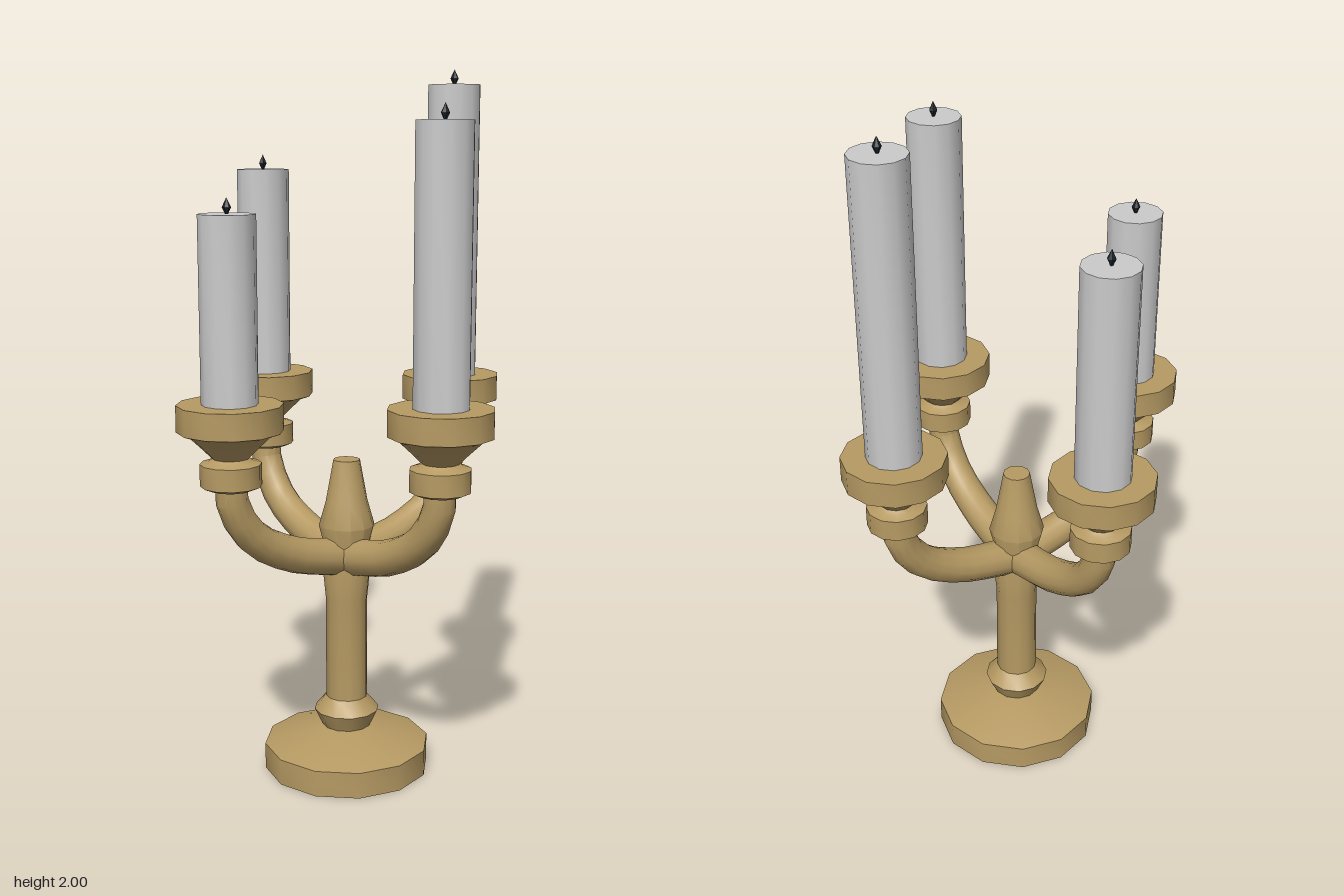
import * as THREE from 'three';
import { toCreasedNormals } from 'three/addons/utils/BufferGeometryUtils.js';

const brass = new THREE.MeshStandardMaterial({ color: 0xb69a63 });
const wax = new THREE.MeshStandardMaterial({ color: 0xcccccc });
const black = new THREE.MeshStandardMaterial({ color: 0x1a2228 });

// Turned part from [radius, height] pairs, listed bottom to top
function turned(name, profile, material, sides = 12) {
  const points = profile.map(([r, y]) => new THREE.Vector2(r, y));
  const mesh = new THREE.Mesh(toCreasedNormals(new THREE.LatheGeometry(points, sides), 0.6), material);
  mesh.name = name;
  return mesh;
}

// Round arm along a path, tapering from r0 to r1
function taperedTube(name, path, segments, r0, r1, material) {
  const sides = 12;
  const geometry = new THREE.TubeGeometry(path, segments, 1, sides);
  const pos = geometry.attributes.position;
  const v = new THREE.Vector3();
  for (let i = 0; i <= segments; i++) {
    const t = i / segments;
    const centre = path.getPointAt(t);
    for (let j = 0; j <= sides; j++) {
      const k = i * (sides + 1) + j;
      v.fromBufferAttribute(pos, k).sub(centre).multiplyScalar(THREE.MathUtils.lerp(r0, r1, t)).add(centre);
      pos.setXYZ(k, v.x, v.y, v.z);
    }
  }
  const mesh = new THREE.Mesh(toCreasedNormals(geometry, 0.6), material);
  mesh.name = name;
  return mesh;
}

// One branch pointing along +x: arm, cup, candle and wick
function createBranch(candleTop) {
  const branch = new THREE.Group();
  const reach = 0.393;

  const path = new THREE.CatmullRomCurve3([
    [0, 0.635], [0.09, 0.65], [0.19, 0.675], [0.31, 0.737],
    [0.368, 0.805], [reach, 0.87], [reach, 0.92],
  ].map(([x, y]) => new THREE.Vector3(x, y, 0)));
  branch.add(taperedTube('arm', path, 9, 0.055, 0.043, brass));

  const holder = new THREE.Group();
  holder.name = 'candleHolder';
  holder.position.x = reach;
  holder.add(
    turned('cup', [
      [0, 0.895], [0.06, 0.895], [0.083, 0.905], [0.083, 0.965], [0.06, 0.972],
      [0.05, 0.98], [0.075, 1.005], [0.115, 1.043], [0.143, 1.053], [0.143, 1.125], [0, 1.125],
    ], brass),
    turned('candle', [[0, 1.12], [0.076, 1.12], [0.076, candleTop], [0, candleTop]], wax),
    turned('wick', [
      [0, candleTop - 0.01], [0.004, candleTop], [0.012, candleTop + 0.017], [0, candleTop + 0.042],
    ], black, 6),
  );
  branch.add(holder);
  return branch;
}

export function createModel() {
  const model = new THREE.Group();
  model.name = 'candelabrum';

  // Foot, collar and shaft
  model.add(turned('foot', [[0, 0], [0.24, 0], [0.24, 0.075], [0.07, 0.127], [0, 0.127]], brass));
  model.add(turned('stem', [
    [0.07, 0.125], [0.094, 0.175], [0.06, 0.215], [0.06, 0.51], [0.068, 0.59], [0.06, 0.65],
    [0.08, 0.73], [0.06, 0.8], [0.038, 0.92], [0, 0.92],
  ], brass));

  // Four branches around the stem: left, back, right, front
  const branches = [['left', 1.855], ['back', 1.958], ['right', 1.72], ['front', 1.62]];
  branches.forEach(([side, top], i) => {
    const branch = createBranch(top);
    branch.name = side + 'Branch';
    branch.rotation.y = i * Math.PI / 2;
    model.add(branch);
  });
  return model;
}
